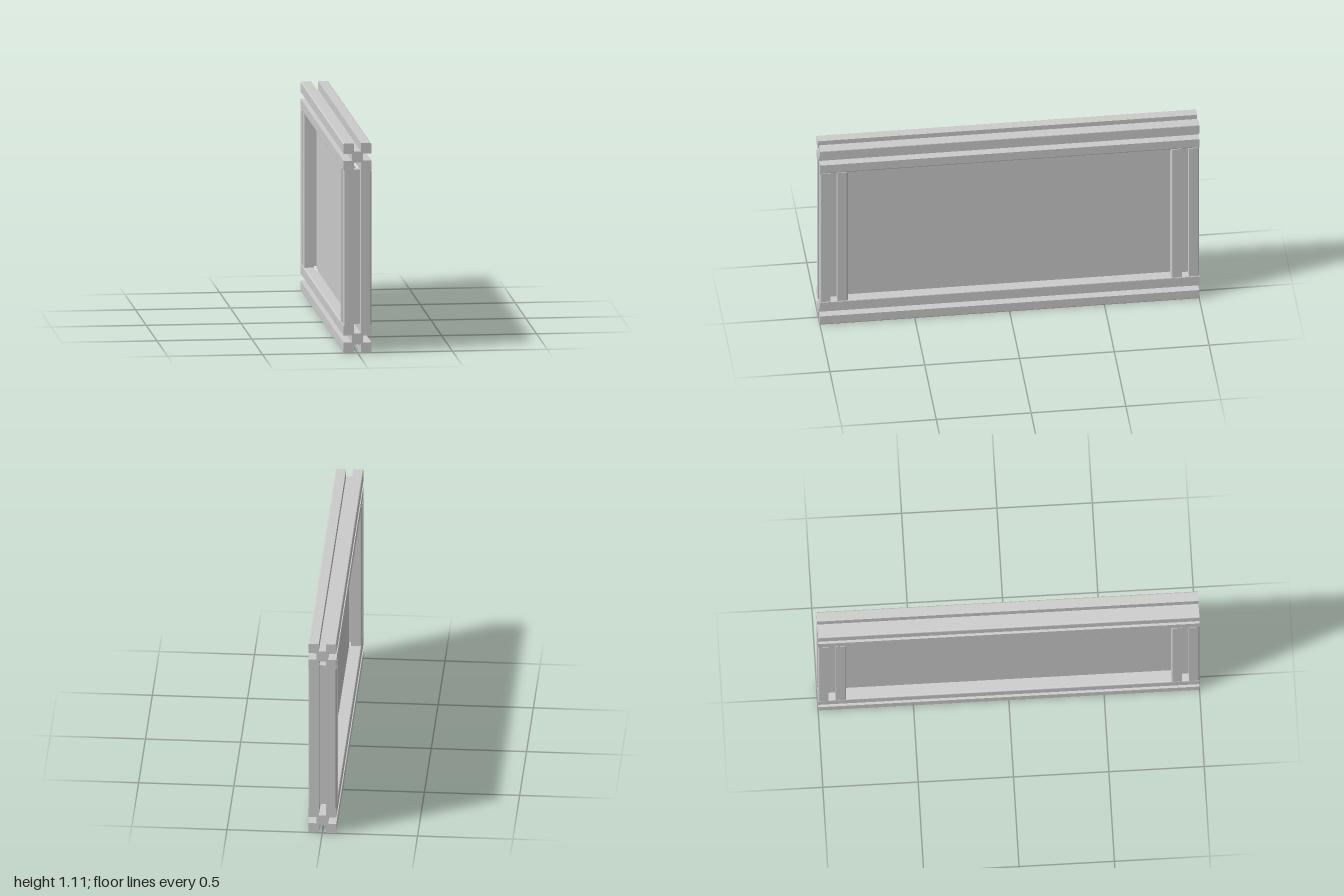
import * as THREE from 'three';

const H = 0.0735;   // half width of the bar section
const S = 0.0185;   // half width of a slot
const C = 0.0295;   // half width of the core
const R = 0.007;    // corner radius
const HEIGHT = 1.112;

// Square bar section with a slot in each side, built from one corner turned four times
function slottedSection() {
  const corner = [[C, -S], [C, S], [H, S], [H, H - R]];
  for (let i = 1; i <= 4; i++) {
    const a = (i / 4) * Math.PI / 2;
    corner.push([H - R + R * Math.cos(a), H - R + R * Math.sin(a)]);
  }
  corner.push([S, H]);
  const points = [];
  for (let q = 0; q < 4; q++) {
    for (const [x, y] of corner) {
      points.push(new THREE.Vector2(x, y).rotateAround(new THREE.Vector2(), q * Math.PI / 2));
    }
  }
  return new THREE.Shape(points);
}

// Bar along z, centred on its own middle
function barGeometry(length) {
  return new THREE.ExtrudeGeometry(slottedSection(), { depth: length, bevelEnabled: false })
    .translate(0, 0, -length / 2);
}

export function createModel() {
  const group = new THREE.Group();
  const material = new THREE.MeshStandardMaterial({ color: 0xcccccc });
  const add = (name, geometry, x, y, z) => {
    const mesh = new THREE.Mesh(geometry, material);
    mesh.name = name;
    mesh.position.set(x, y, z);
    group.add(mesh);
  };

  const openingHeight = HEIGHT - 4 * H;
  const openingLength = 2 - 4 * H;

  // Full length rails
  const rail = barGeometry(2);
  add('bottomRail', rail, 0, H, 0);
  add('topRail', rail, 0, HEIGHT - H, 0);

  // Upright posts between the rails
  const post = barGeometry(openingHeight).rotateX(Math.PI / 2);
  add('frontPost', post, 0, HEIGHT / 2, 1 - H);
  add('backPost', post, 0, HEIGHT / 2, -1 + H);

  // Thin panel filling the opening
  add('panel', new THREE.BoxGeometry(0.015, openingHeight, openingLength), 0, HEIGHT / 2, 0);

  return group;
}
